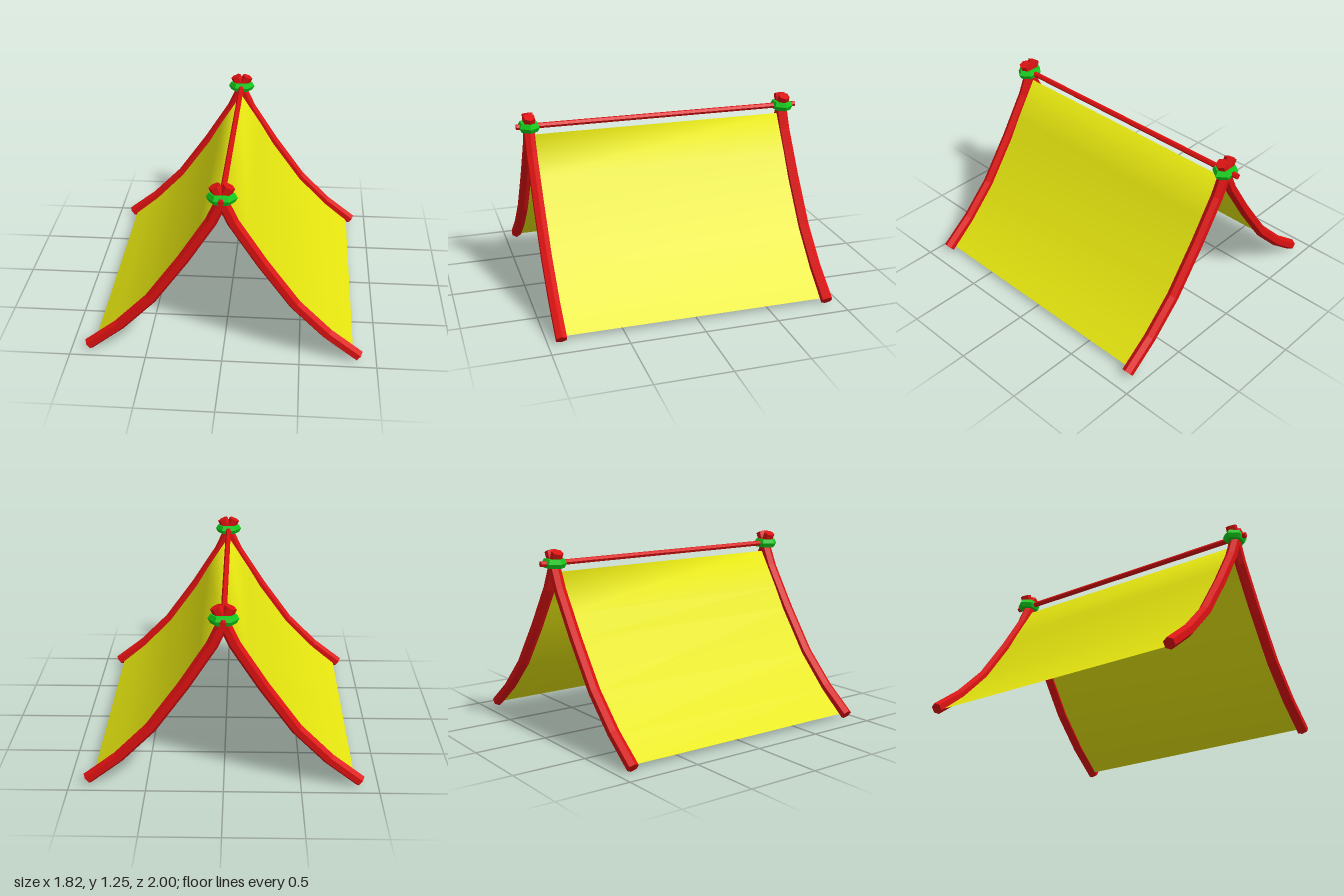
import * as THREE from 'three';

const mat = (color, extra = {}) => new THREE.MeshStandardMaterial({ color, ...extra });

// Centre line of a pole on the +x side, foot to crossed tip
const POLE = [[0.885, 0.032], [0.676, 0.195], [0.463, 0.41], [0.248, 0.71], [0.068, 0.99], [-0.045, 1.235]];
// Half profile of the cloth, foot to ridge
const CLOTH = [[0.85, 0.035], [0.676, 0.18], [0.463, 0.4], [0.248, 0.7], [0.16, 0.85], [0, 1.1]];

// Six-sided pole with mitred bends, flat sides towards the front and back
function poleGeometry(path, side, r = 0.039, n = 6) {
  const pts = path.map(([x, y]) => new THREE.Vector2(x * side, y));
  const dir = i => pts[i + 1].clone().sub(pts[i]).normalize();
  const pos = [], idx = [], last = pts.length - 1;
  pts.forEach((p, i) => {
    const a = dir(Math.max(i - 1, 0)), b = dir(Math.min(i, last - 1));
    const t = a.clone().add(b).normalize();
    const w = r / t.dot(a);
    for (let k = 0; k < n; k++) {
      const ang = (k / n) * Math.PI * 2, u = Math.cos(ang) * w;
      pos.push(p.x + t.y * u, p.y - t.x * u, Math.sin(ang) * r);
    }
  });
  for (let i = 0; i < last; i++) {
    for (let k = 0; k < n; k++) {
      const a = i * n + k, b = i * n + (k + 1) % n;
      idx.push(a, a + n, b, b, a + n, b + n);
    }
  }
  // End caps
  for (let k = 1; k < n - 1; k++) {
    idx.push(0, k, k + 1);
    idx.push(last * n, last * n + k + 1, last * n + k);
  }
  // Side faces wind outwards: (normal, z, path) is a right-handed set
  for (let i = 0; i < idx.length; i += 3) {
    const v = [0, 1, 2].map(j => new THREE.Vector3().fromArray(pos, idx[i + j] * 3));
    const normal = v[1].clone().sub(v[0]).cross(v[2].clone().sub(v[0]));
    const rings = [0, 1, 2].map(j => Math.floor(idx[i + j] / n));
    const mid = v[0].clone().add(v[1]).add(v[2]).divideScalar(3);
    const lo = Math.min(...rings), hi = Math.max(...rings);
    const near = lo === hi ? (lo === 0 ? pts[1] : pts[last - 1]) : pts[lo].clone().add(pts[hi]).multiplyScalar(0.5);
    const out = mid.sub(new THREE.Vector3(near.x, near.y, 0));
    if (lo !== hi) {
      const d = dir(lo), axis = new THREE.Vector3(d.x, d.y, 0);
      out.addScaledVector(axis, -out.dot(axis));
    }
    if (normal.dot(out) < 0) [idx[i + 1], idx[i + 2]] = [idx[i + 2], idx[i + 1]];
  }
  const g = new THREE.BufferGeometry();
  g.setAttribute('position', new THREE.Float32BufferAttribute(pos, 3));
  g.setIndex(idx);
  g.computeVertexNormals();
  return g;
}

// Thin sheet swept along z, smooth over the ridge
function clothGeometry(z0, z1) {
  const profile = [...CLOTH, ...CLOTH.slice(0, -1).reverse().map(([x, y]) => [-x, y])];
  const pos = [], idx = [];
  profile.forEach(([x, y], i) => {
    pos.push(x, y, z0, x, y, z1);
    if (i) {
      const a = 2 * i - 2;
      idx.push(a, a + 2, a + 1, a + 1, a + 2, a + 3);
    }
  });
  const g = new THREE.BufferGeometry();
  g.setAttribute('position', new THREE.Float32BufferAttribute(pos, 3));
  g.setIndex(idx);
  g.computeVertexNormals();
  return g;
}

export function createModel() {
  const model = new THREE.Group();
  model.name = 'tent';
  const red = mat(0xdd1111, { flatShading: true });
  const green = mat(0x11cc1a, { flatShading: true });
  const yellow = mat(0xe6e610, { side: THREE.DoubleSide });
  const add = (name, geometry, material, x = 0, y = 0, z = 0) => {
    const mesh = new THREE.Mesh(geometry, material);
    mesh.name = name;
    mesh.position.set(x, y, z);
    model.add(mesh);
    return mesh;
  };

  // Crossed pole pairs, each tied with a rope ring
  for (const [end, z] of [['front', 0.915], ['back', -0.9]]) {
    add(end + 'LeftPole', poleGeometry(POLE, 1), red, 0, 0, z);
    add(end + 'RightPole', poleGeometry(POLE, -1), red, 0, 0, z);
    const ring = new THREE.TorusGeometry(0.063, 0.034, 6, 6).rotateX(Math.PI / 2).scale(1, 1, 0.78);
    add(end + 'RopeRing', ring, green, 0, 1.16, z);
  }

  // Ridge bar through both crossings
  const bar = new THREE.CylinderGeometry(0.019, 0.019, 2, 6).rotateX(Math.PI / 2).rotateZ(Math.PI / 6);
  add('ridgeBar', bar, red, 0, 1.16, 0);

  // Cloth cover
  add('cloth', clothGeometry(-0.9, 0.91), yellow);
  return model;
}
